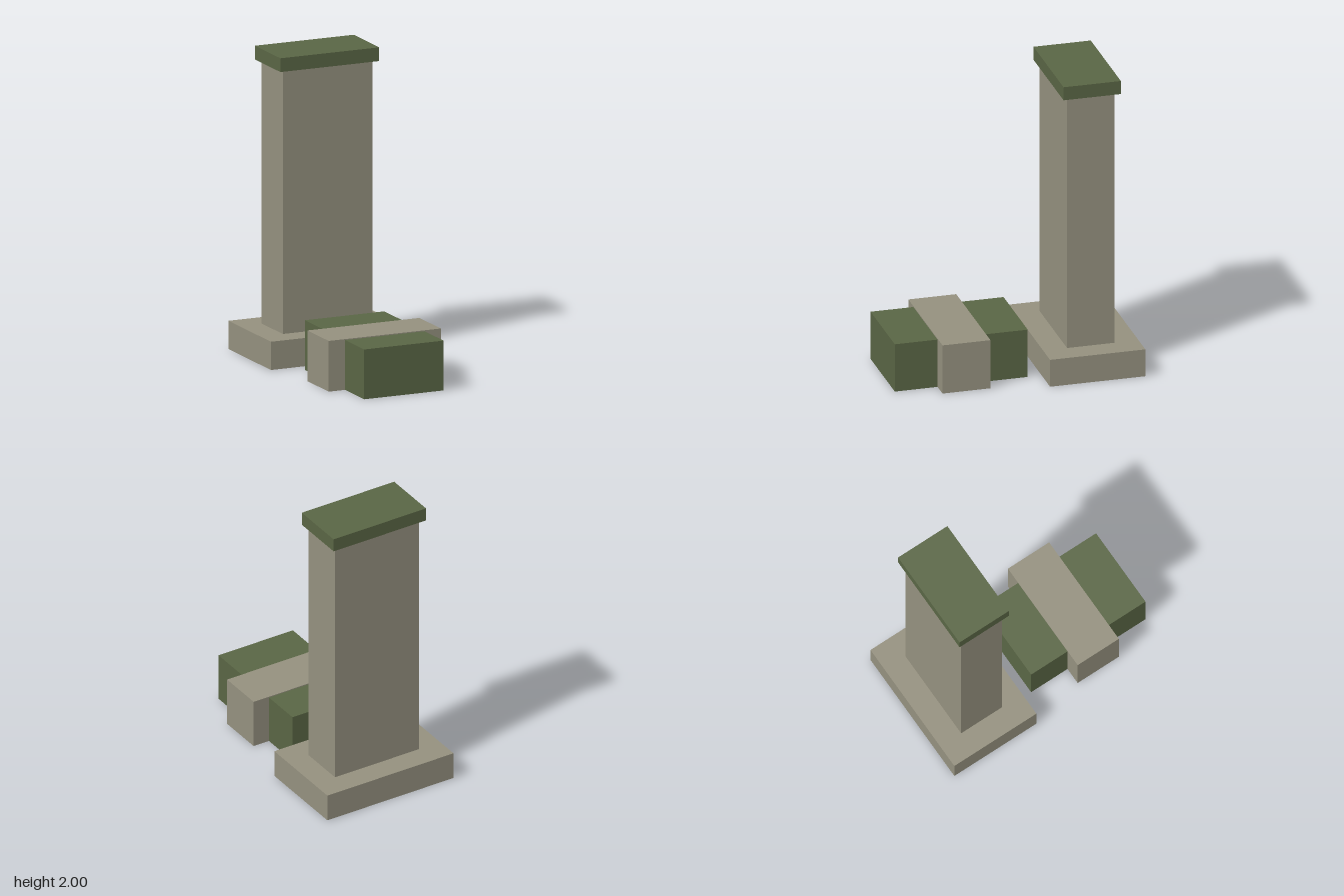
import * as THREE from 'three';

const stone = new THREE.MeshStandardMaterial({ color: 0x95917f, side: THREE.DoubleSide });
stone.name = 'stone';
const green = new THREE.MeshStandardMaterial({ color: 0x5a6645, side: THREE.DoubleSide });
green.name = 'mossGreen';

// Box given by its limits; open boxes have no floor
function block(name, material, [x0, x1], [y0, y1], [z0, z1], open = false) {
  const geometry = new THREE.BoxGeometry(x1 - x0, y1 - y0, z1 - z0);
  if (open) {
    const index = Array.from(geometry.index.array);
    index.splice(18, 6); // the downward face
    geometry.setIndex(index);
    geometry.clearGroups();
  }
  const mesh = new THREE.Mesh(geometry, material);
  mesh.name = name;
  mesh.position.set((x0 + x1) / 2, (y0 + y1) / 2, (z0 + z1) / 2);
  return mesh;
}

export function createModel() {
  const model = new THREE.Group();
  model.name = 'pillarAndBlock';

  // Tall pillar on a hollow plinth, with an overhanging cap
  const pillar = new THREE.Group();
  pillar.name = 'pillar';
  pillar.add(
    block('plinth', stone, [-0.475, 0.475], [0, 0.185], [-0.803, -0.172], true),
    block('shaft', stone, [-0.316, 0.316], [0.185, 1.91], [-0.643, -0.33]),
    block('cap', green, [-0.348, 0.348], [1.91, 2], [-0.677, -0.298]),
  );

  // Low hollow block crossed by a wider band with a thin lid
  const lowBlock = new THREE.Group();
  lowBlock.name = 'lowBlock';
  lowBlock.add(
    block('blockBody', green, [-0.28, 0.28], [0, 0.326], [-0.08, 0.8], true),
    block('band', stone, [-0.395, 0.395], [0, 0.322], [0.2, 0.517], true),
    block('bandLid', stone, [-0.395, 0.395], [0.322, 0.332], [0.2, 0.517]),
  );

  model.add(pillar, lowBlock);
  return model;
}
